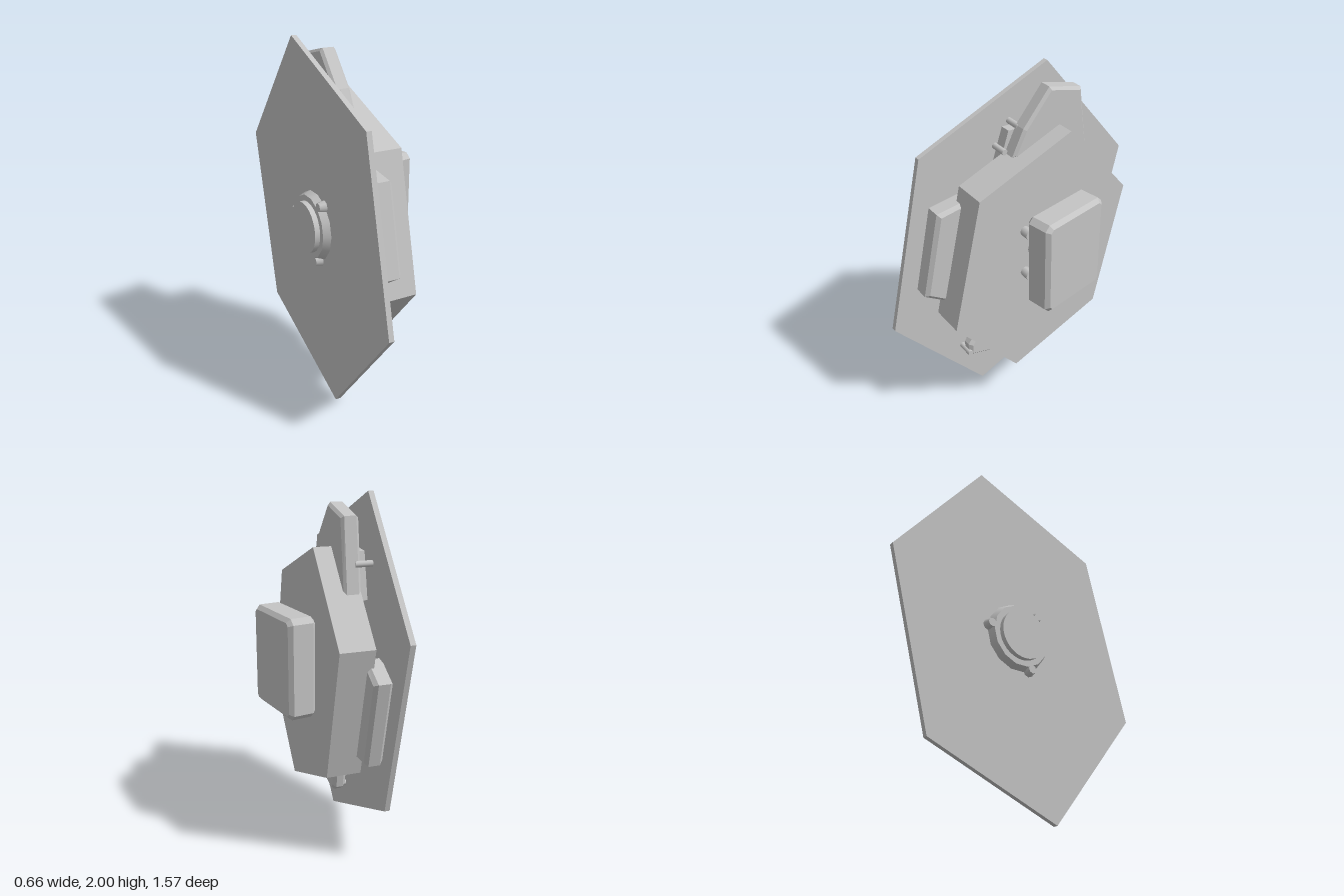
import * as THREE from 'three';

const TILT = THREE.MathUtils.degToRad(10);
const S = Math.sin(TILT), C = Math.cos(TILT);

export function createModel() {
  const model = new THREE.Group();
  model.name = 'layeredPlateAssembly';
  const grey = new THREE.MeshStandardMaterial({ color: 0xc4c4c4 });
  grey.name = 'light grey';

  // The stacked plates share one frame, turned ten degrees about the vertical
  const stack = new THREE.Group();
  stack.name = 'plateStack';
  stack.position.set(-0.185, 1, 0);
  stack.rotation.y = -TILT;
  model.add(stack);

  const add = (parent, name, geometry) => {
    const mesh = new THREE.Mesh(geometry, grey);
    mesh.name = name;
    parent.add(mesh);
    return mesh;
  };

  // Extrudes an outline of [across, up] points along +x, from x0 to x1
  const extrudeX = (points, x0, x1, bevel) => {
    const shape = new THREE.Shape(points.map(([z, y]) => new THREE.Vector2(-z, y)));
    const geometry = new THREE.ExtrudeGeometry(shape, {
      depth: x1 - x0 - 2 * bevel, bevelEnabled: bevel > 0, bevelSegments: 1,
      bevelSize: bevel, bevelThickness: bevel, bevelOffset: -bevel,
    });
    geometry.translate(0, 0, bevel);
    geometry.rotateY(Math.PI / 2);
    geometry.translate(x0, 0, 0);
    return geometry;
  };

  // Slab in the stack, from the outline of its front face
  const slab = (name, points, x0, x1, bevel = 0) =>
    add(stack, name, extrudeX(points.map(([z, y]) => [(z - S * x1) / C, y - 1]), x0, x1, bevel));

  // Round part in the stack with its axis along the stack's normal
  const disc = (name, radius, x0, x1, y = 0, z = 0, sides = 32, backRadius = radius) => {
    const geometry = new THREE.CylinderGeometry(radius, backRadius, x1 - x0, sides);
    geometry.rotateZ(-Math.PI / 2);
    return add(stack, name, geometry).position.set((x0 + x1) / 2, y, z);
  };

  slab('basePlate', [[-0.24, 2], [0.54, 1.67], [0.78, 0.67], [0.24, 0], [-0.54, 0.33], [-0.78, 1.33]], -0.015, 0.015);
  slab('frontBlock', [[-0.14, 1.72], [0.42, 1.5], [0.6, 0.75], [0.22, 0.29], [-0.35, 0.51], [-0.53, 1.26]], 0.1, 0.295);

  // Pads between the two plates
  slab('frontPad', [[0.55, 1.4], [0.33, 1.43], [0.42, 1.0], [0.53, 0.83], [0.66, 0.92]], 0.03, 0.15, 0.02);
  slab('rearPad', [[-0.63, 1.1], [-0.52, 0.61], [-0.37, 0.6], [-0.33, 0.8], [-0.48, 1.19]], 0.03, 0.135, 0.02);
  slab('topPad', [[-0.1, 1.94], [-0.3, 1.89], [-0.35, 1.5], [0.13, 1.61], [0.06, 1.75]], 0.1, 0.195, 0.015);
  slab('bottomPad', [[0.4, 0.34], [0.4, 0.42], [0.3, 0.55], [-0.08, 0.5], [-0.04, 0.26], [0, 0.23]], 0.05, 0.13, 0.02);
  slab('topBacking', [[0.08, 1.72], [-0.25, 1.7], [-0.3, 1.45], [0.18, 1.42]], 0.04, 0.1);
  slab('bottomBacking', [[0.34, 0.4], [0.36, 0.7], [-0.05, 0.7], [-0.03, 0.38]], 0.02, 0.06);

  // Pins holding the top and bottom pads
  for (const [z, y] of [[-0.345, 1.65], [0.03, 1.74], [0.12, 1.62], [0.39, 0.365], [0, 0.26]])
    disc('pin', 0.017, 0.035, 0.13, y - 1, (z - S * 0.08) / C, 12);

  // Shaft through the stack and the hub on its back
  disc('shaft', 0.16, 0, 0.11);
  disc('hubRing', 0.2, -0.055, -0.01, 0, 0, 14, 0.18);
  disc('hubCap', 0.145, -0.085, -0.05);
  for (let i = 0; i < 3; i++) {
    const a = 0.9 + i * Math.PI * 2 / 3;
    disc('hubTab', 0.035, -0.055, -0.012, 0.195 * Math.sin(a), 0.195 * Math.cos(a), 8, 0.025);
  }

  // Knob mount with small lugs
  disc('knobMount', 0.13, 0.29, 0.36, 0.09, -0.03, 14, 0.11);
  for (let i = 0; i < 4; i++) {
    const a = Math.PI / 4 + i * Math.PI / 2;
    disc('knobLug', 0.028, 0.29, 0.35, 0.09 + 0.19 * Math.sin(a), -0.03 + 0.19 * Math.cos(a), 8);
  }

  // Upright knob with cut corners, square to the model
  const w = 0.217, h = 0.28, c = 0.03;
  const knob = [[-w + c, h], [w - c, h], [w, h - c], [w, -h + c], [w - c, -h], [-w + c, -h], [-w, -h + c], [-w, h - c]];
  add(model, 'knob', extrudeX(knob, 0.16, 0.32, 0.022)).position.set(0, 1.09, 0);

  return model;
}
